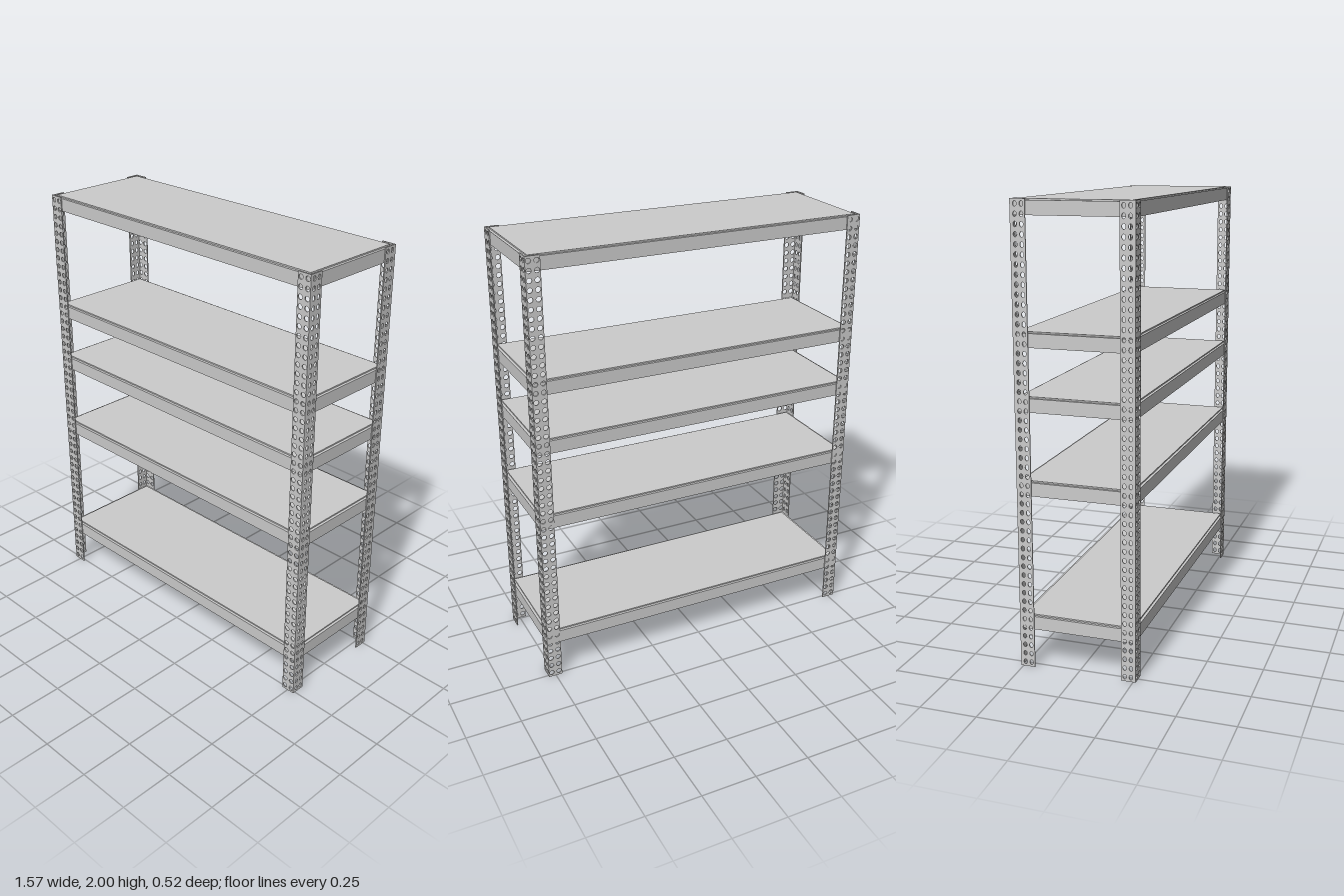
import * as THREE from 'three';

const X = 0.784, Z = 0.262;   // outer corner of the posts
const H = 2, W = 0.065, T = 0.005; // post height, flange width, sheet thickness
const SHELF_TOPS = [0.24, 0.84, 1.2, 1.47, 2];
const SHELF_H = 0.065, LIP = 0.006;

const steel = new THREE.MeshStandardMaterial({ color: 0xcccccc, flatShading: true });

function mesh(name, geometry, x, y, z) {
  const m = new THREE.Mesh(geometry, steel);
  m.name = name;
  m.position.set(x, y, z);
  return m;
}

// Flat strip with two columns of punched holes, centred on x and z
function perforatedStrip(width, column, rx, ry) {
  const shape = new THREE.Shape();
  shape.moveTo(-width / 2, 0);
  shape.lineTo(width / 2, 0);
  shape.lineTo(width / 2, H);
  shape.lineTo(-width / 2, H);
  shape.closePath();
  for (let y = 0.02; y < H; y += 0.04) {
    for (const s of [-1, 1]) {
      const hole = new THREE.Path();
      hole.absellipse(s * column, y, rx, ry, 0, Math.PI * 2, true);
      shape.holes.push(hole);
    }
  }
  const g = new THREE.ExtrudeGeometry(shape, { depth: T, bevelEnabled: false, curveSegments: 10 });
  return g.translate(0, 0, -T / 2);
}

export function createModel() {
  const model = new THREE.Group();
  model.name = 'shelvingUnit';

  // Four slotted-angle corner posts
  const frontStrip = perforatedStrip(W, 0.0175, 0.011, 0.011);
  const sideStrip = perforatedStrip(W - T, 0.014, 0.008, 0.011).rotateY(Math.PI / 2);
  for (const sx of [-1, 1]) {
    for (const sz of [-1, 1]) {
      const post = new THREE.Group();
      post.name = (sz > 0 ? 'front' : 'back') + (sx > 0 ? 'Left' : 'Right') + 'Post';
      post.add(
        mesh('wideFlange', frontStrip, sx * (X - W / 2), 0, sz * (Z - T / 2)),
        mesh('sideFlange', sideStrip, sx * (X - T / 2), 0, sz * (Z - (W + T) / 2))
      );
      model.add(post);
    }
  }

  // Shelves: deep folded tray with a slightly inset raised top panel
  const w = 2 * (X - T), d = 2 * (Z - T), inset = 0.012;
  const tray = new THREE.BoxGeometry(w, SHELF_H - LIP, d);
  const panel = new THREE.BoxGeometry(w - 2 * inset, LIP, d - 2 * inset);
  SHELF_TOPS.forEach((top, i) => {
    const shelf = new THREE.Group();
    shelf.name = 'shelf' + (i + 1);
    shelf.add(
      mesh('shelfTray', tray, 0, top - LIP - (SHELF_H - LIP) / 2, 0),
      mesh('shelfPanel', panel, 0, top - LIP / 2, 0)
    );
    model.add(shelf);
  });

  return model;
}
